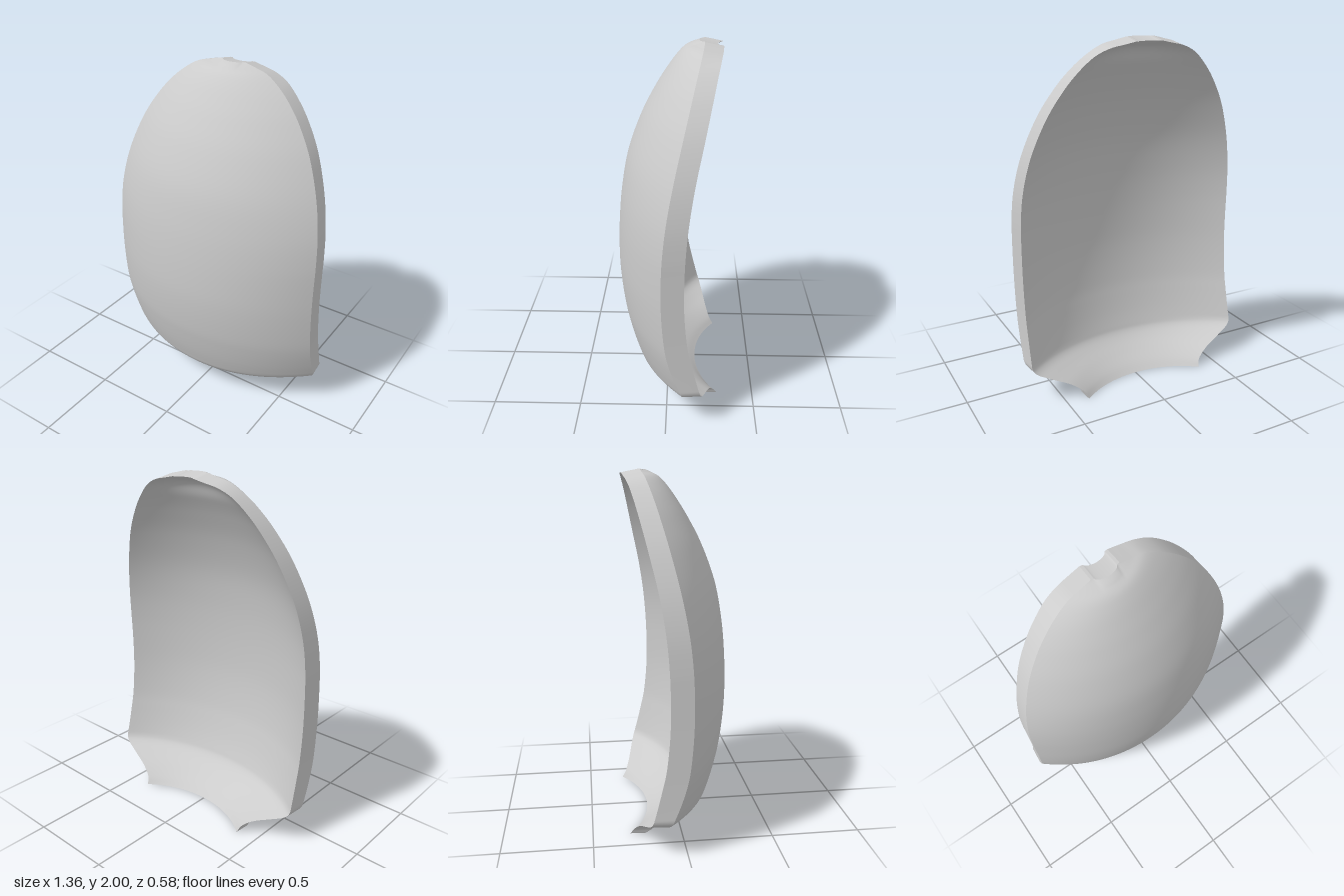
import * as THREE from 'three';

// Cross-sections from bottom to top:
// height, half width, outer z at the middle, outer z at the side edge, rim thickness at the side edge
const sections = [
  [0, 0.38, -0.025, -0.205, 0.085],
  [0.04, 0.40, 0.02, -0.165, 0.1],
  [0.09, 0.468, 0.085, -0.136, 0.105],
  [0.14, 0.575, 0.145, -0.112, 0.105],
  [0.18, 0.655, 0.18, -0.094, 0.104],
  [0.22, 0.68, 0.196, -0.078, 0.105],
  [0.3, 0.68, 0.221, -0.046, 0.116],
  [0.4, 0.68, 0.246, -0.014, 0.124],
  [0.5, 0.68, 0.266, 0.006, 0.123],
  [0.65, 0.68, 0.284, 0.02, 0.121],
  [0.8, 0.68, 0.291, 0.025, 0.12],
  [1.0, 0.68, 0.285, 0.02, 0.119],
  [1.2, 0.667, 0.265, 0, 0.115],
  [1.4, 0.626, 0.226, -0.035, 0.11],
  [1.6, 0.55, 0.152, -0.08, 0.108],
  [1.75, 0.46, 0.074, -0.117, 0.105],
  [1.85, 0.376, 0.011, -0.143, 0.103],
  [1.92, 0.295, -0.04, -0.163, 0.102],
  [1.965, 0.22, -0.085, -0.177, 0.1],
  [1.985, 0.145, -0.135, -0.185, 0.1],
  [2, 0.08, -0.183, -0.19, 0.1],
];
const ROWS = 120, COLS = 48;
const { smoothstep, lerp } = THREE.MathUtils;

const curveOf = (p, q) => new THREE.CatmullRomCurve3(
  sections.map(s => new THREE.Vector3(s[0], s[p], s[q])), false, 'catmullrom', 0.5);
const depths = curveOf(2, 3), spans = curveOf(1, 4);

// Point on the outer (side 0) or inner (side 1) face; s runs across, t runs up
function shellPoint(s, t, side) {
  const d = depths.getPoint(t), span = spans.getPoint(t);
  const u = s * 2 - 1, y = d.x, x = u * Math.min(span.y, 0.68);
  const bow = 0.85 * u * u + 0.15 * u ** 4;
  // small scallop in the middle of the top rim
  const scallop = 0.023 * smoothstep(y, 1.97, 2) * Math.sqrt(Math.max(0, 1 - (x / 0.062) ** 2));
  // thicker in the middle than at the side edges
  const thick = lerp(0.138 - 0.036 * smoothstep(y, 1.85, 2), span.z, bow);
  return new THREE.Vector3(
    x * (1 - 0.015 * side),
    y - 0.02 * side * smoothstep(y, 1.9, 2),
    lerp(d.y, d.z, bow) + scallop - thick * side);
}

// Smooth sheet from a point function; (a to the right, b up) faces the viewer
function sheet(name, fn, na, nb) {
  const pos = [], idx = [];
  for (let j = 0; j <= nb; j++)
    for (let i = 0; i <= na; i++) pos.push(...fn(i / na, j / nb).toArray());
  for (let j = 0; j < nb; j++)
    for (let i = 0; i < na; i++) {
      const a = j * (na + 1) + i, b = a + 1, c = a + na + 1, d = c + 1;
      idx.push(a, b, d, a, d, c);
    }
  const g = new THREE.BufferGeometry();
  g.setAttribute('position', new THREE.Float32BufferAttribute(pos, 3));
  g.setIndex(idx);
  g.computeVertexNormals();
  const mesh = new THREE.Mesh(g, new THREE.MeshStandardMaterial({
    color: 0xcccccc, side: THREE.DoubleSide }));
  mesh.name = name;
  return mesh;
}

export function createModel() {
  const group = new THREE.Group();
  group.name = 'curvedShell';
  group.add(
    // main faces
    sheet('outerFace', (a, b) => shellPoint(a, b, 0), COLS, ROWS),
    sheet('innerFace', (a, b) => shellPoint(1 - a, b, 1), COLS, ROWS),
    // rim closing the thickness all around
    sheet('leftRim', (a, b) => shellPoint(1, b, a), 1, ROWS),
    sheet('rightRim', (a, b) => shellPoint(0, b, 1 - a), 1, ROWS),
    sheet('topRim', (a, b) => shellPoint(a, 1, b), COLS, 1),
    sheet('bottomRim', (a, b) => shellPoint(a, 0, 1 - b), COLS, 1),
  );
  return group;
}
